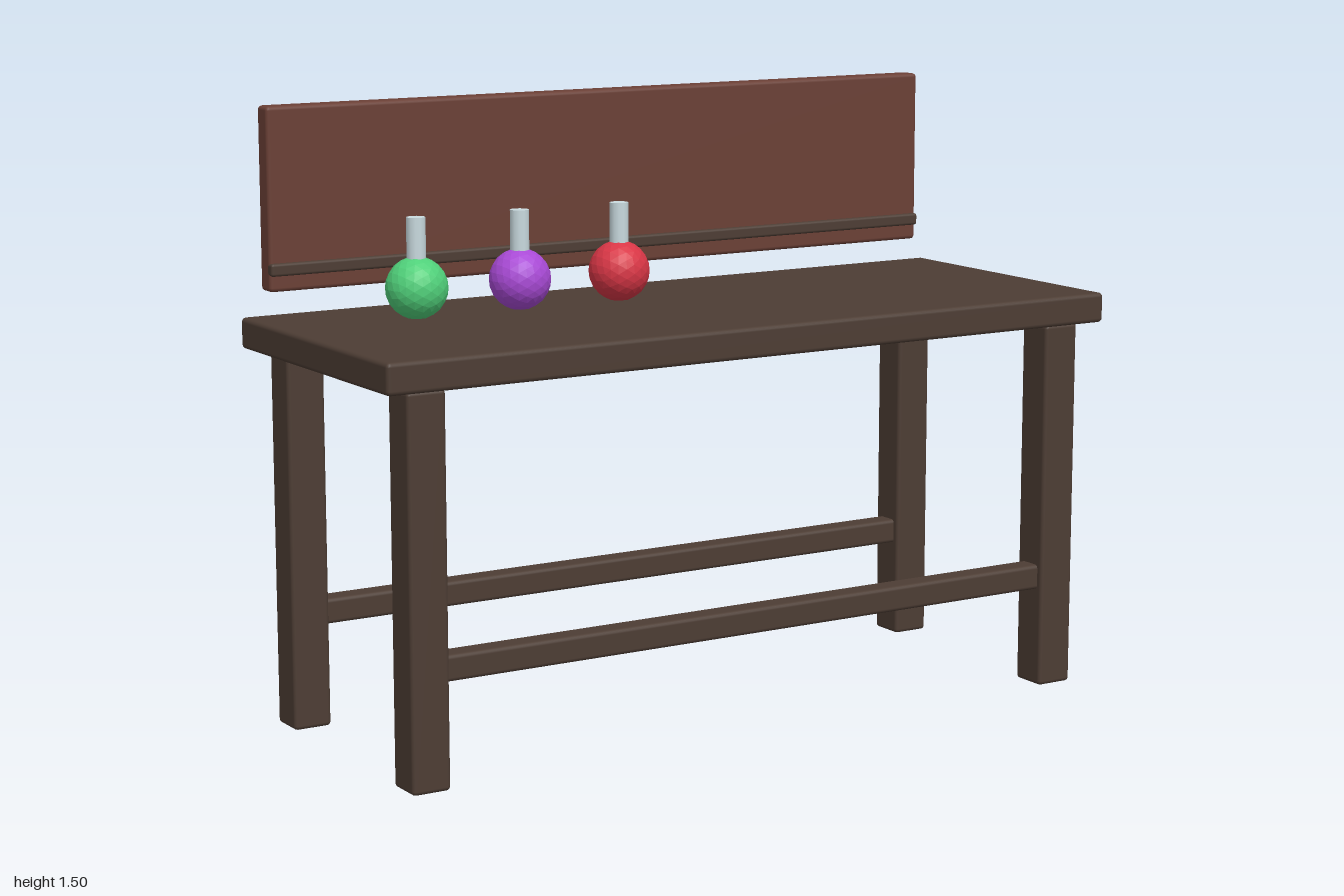
import * as THREE from 'three';
import { RoundedBoxGeometry } from 'three/addons/geometries/RoundedBoxGeometry.js';

const material = (color, flatShading = false) =>
  new THREE.MeshStandardMaterial({ color, flatShading });

export function createModel() {
  const model = new THREE.Group();
  model.name = 'workbench';
  const wood = material(0x4d3d34);
  const panelWood = material(0x6b4036);
  const glass = material(0xc9dadf);

  // Box with softened edges, given by its size and centre
  function plank(name, size, centre, mat, radius = 0.01) {
    const mesh = new THREE.Mesh(new RoundedBoxGeometry(...size, 2, radius), mat);
    mesh.position.set(...centre);
    mesh.name = name;
    model.add(mesh);
  }

  // Table top
  plank('tableTop', [2, 0.075, 0.775], [0, 0.963, 0.003], wood, 0.011);

  // Four legs, and a long rail between each left and right pair
  for (const [end, z] of [['front', 0.315], ['back', -0.308]]) {
    for (const [side, x] of [['Left', 0.89], ['Right', -0.89]]) {
      plank(`${end}${side}Leg`, [0.097, 0.926, 0.097], [x, 0.463, z], wood);
    }
    plank(`${end}Rail`, [1.71, 0.063, 0.063], [0, 0.28, z], wood);
  }

  // Back panel with a narrow strip along its lower front
  plank('backPanel', [1.885, 0.442, 0.054], [0, 1.281, -0.363], panelWood);
  plank('panelStrip', [1.885, 0.031, 0.028], [0, 1.114, -0.34], wood, 0.007);

  // Round flasks with glass necks
  const bulbShape = new THREE.IcosahedronGeometry(0.075, 3);
  const neckShape = new THREE.CylinderGeometry(0.023, 0.023, 0.11, 12);
  const flasks = [['green', -0.67, 0x50d07a], ['purple', -0.392, 0xa94ad6], ['red', -0.115, 0xd93646]];
  for (const [name, x, color] of flasks) {
    const flask = new THREE.Group();
    flask.name = `${name}Flask`;
    const bulb = new THREE.Mesh(bulbShape, material(color, true));
    bulb.name = 'bulb';
    const neck = new THREE.Mesh(neckShape, glass);
    neck.name = 'neck';
    neck.position.y = 0.113;
    flask.add(bulb, neck);
    flask.position.set(x, 1.08, -0.108);
    model.add(flask);
  }

  return model;
}
